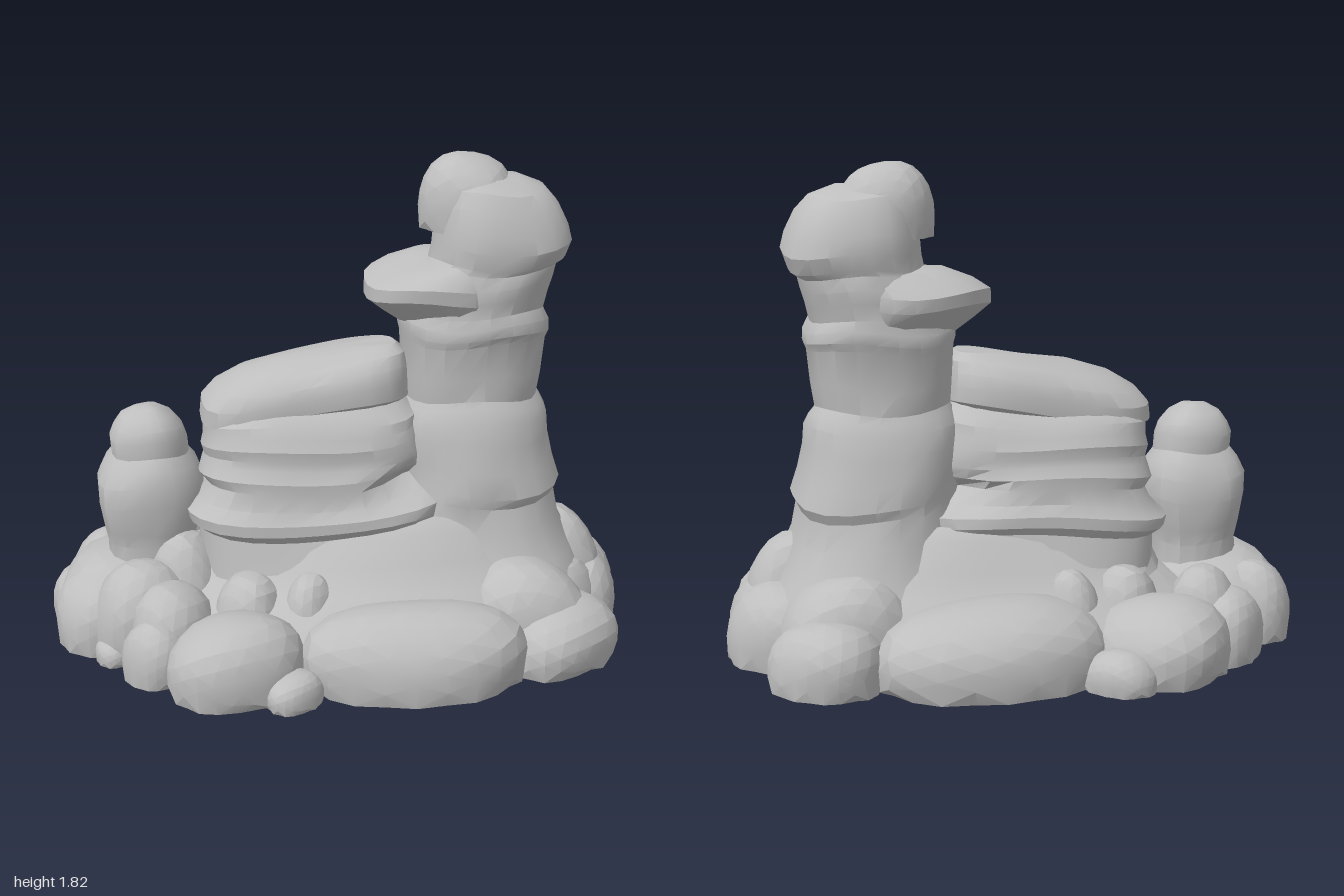
import * as THREE from 'three';
import { toCreasedNormals } from 'three/addons/utils/BufferGeometryUtils.js';

const stone = new THREE.MeshStandardMaterial({ color: 0xbebebe });
stone.name = 'stone';

// Smooth repeatable bumpiness
const bump = (x, y, z, s) =>
  Math.sin(x * 3.1 + s * 1.7) * Math.sin(y * 2.7 + s * 2.3) + Math.sin(z * 3.7 + s * 0.9 + x * 1.3) * 0.7;

function addMesh(parent, name, geo, crease) {
  const mesh = new THREE.Mesh(toCreasedNormals(geo, crease), stone);
  mesh.name = name;
  parent.add(mesh);
  return mesh;
}

// Rounded boulder with a flat underside; h is its height above y0
function rock(parent, name, [x, z, rx, rz, h, yaw = 0, y0 = 0], seed) {
  const geo = new THREE.IcosahedronGeometry(1, 3);
  const p = geo.attributes.position;
  const v = new THREE.Vector3();
  for (let i = 0; i < p.count; i++) {
    v.fromBufferAttribute(p, i);
    const n = 2.25;
    const box = (Math.abs(v.x) ** n + Math.abs(v.y) ** n + Math.abs(v.z) ** n) ** (-1 / n);
    v.multiplyScalar(box * (1 + 0.04 * bump(v.x, v.y, v.z, seed)));
    p.setXYZ(i, v.x * rx, v.y < -0.26 ? 0 : h * (0.3 + 0.7 * v.y), v.z * rz);
  }
  const mesh = addMesh(parent, name, geo, 0.3);
  mesh.position.set(x, y0, z);
  mesh.rotation.y = yaw;
}

// Stack of rounded cross-sections [y, centreX, radiusX, radiusZ]
function strata(parent, name, rows, { power = 2, tilt = 0, rough = 0.02, sides = 26, seed = 1, hollow = 0, cz = 0 }) {
  const pos = [], index = [];
  rows.forEach(([y, cx, rx, rz]) => {
    const wave = y > 0.02 ? 0.05 * Math.min(0.25, rz) : 0;
    for (let i = 0; i < sides; i++) {
      const a = (i / sides) * Math.PI * 2;
      const c = Math.cos(a), s = Math.sin(a);
      const k = (Math.abs(c) ** power + Math.abs(s) ** power) ** (-1 / power)
        * (1 + rough * bump(c * 1.6, y * 5, s * 1.6, seed));
      const x = cx + c * k * rx;
      // Weathered notch on both flanks where wall meets tower
      const dent = 1 - hollow * Math.exp(-(((x - 0.2) / 0.12) ** 2) - ((y - 0.63) / 0.055) ** 2);
      pos.push(x, y + tilt * x + wave * Math.sin(a * 3 + seed + y * 6), cz + s * k * rz * dent);
    }
  });
  const last = (rows.length - 1) * sides;
  const [b, t] = [rows[0], rows[rows.length - 1]];
  pos.push(b[1], b[0] + tilt * b[1], cz, t[1], t[0] + tilt * t[1] + 0.008, cz);
  const bottom = rows.length * sides;
  for (let i = 0; i < sides; i++) {
    const j = (i + 1) % sides;
    for (let r = 0; r < last; r += sides) {
      index.push(r + i, r + sides + i, r + j, r + j, r + sides + i, r + sides + j);
    }
    index.push(bottom, i, j, bottom + 1, last + j, last + i);
  }
  const geo = new THREE.BufferGeometry();
  geo.setAttribute('position', new THREE.Float32BufferAttribute(pos, 3));
  geo.setIndex(index);
  addMesh(parent, name, geo, 0.5);
}

export function createModel() {
  const model = new THREE.Group();
  model.name = 'rockFormation';

  // The formation runs along a diagonal; its x axis points from pillar to tower
  const ridge = new THREE.Group();
  ridge.name = 'ridge';
  ridge.rotation.y = Math.PI / 4;
  model.add(ridge);

  strata(ridge, 'plinth', [
    [0, -0.03, 0.9, 0.64], [0.1, -0.03, 0.9, 0.64], [0.2, 0.02, 0.82, 0.56], [0.28, 0.06, 0.72, 0.46],
    [0.36, 0.04, 0.65, 0.39], [0.46, 0.03, 0.59, 0.34], [0.5, 0.03, 0.52, 0.3],
  ], { power: 2.4, seed: 2 });

  strata(ridge, 'layeredWall', [
    [0.32, -0.14, 0.46, 0.37], [0.47, -0.14, 0.46, 0.33], [0.5, -0.16, 0.48, 0.35], [0.54, -0.16, 0.49, 0.35],
    [0.58, -0.15, 0.45, 0.32], [0.64, -0.15, 0.42, 0.31], [0.68, -0.17, 0.43, 0.31], [0.72, -0.17, 0.42, 0.285],
    [0.75, -0.17, 0.41, 0.28], [0.79, -0.18, 0.41, 0.285], [0.83, -0.18, 0.4, 0.265], [0.87, -0.18, 0.4, 0.25],
    [0.9, -0.18, 0.37, 0.22], [0.94, -0.17, 0.33, 0.18],
  ], { power: 3.4, tilt: 0.05, rough: 0.015, sides: 36, seed: 3, hollow: 0.5 });

  strata(ridge, 'topSlab', [
    [0.89, -0.2, 0.34, 0.18], [0.92, -0.2, 0.39, 0.22], [0.98, -0.2, 0.385, 0.225],
    [1.03, -0.18, 0.36, 0.21], [1.075, -0.14, 0.31, 0.17], [1.105, -0.08, 0.22, 0.1],
  ], { power: 3.4, tilt: 0.13, rough: 0.015, sides: 32, seed: 5 });

  strata(ridge, 'tower', [
    [0.2, 0.48, 0.4, 0.44], [0.32, 0.48, 0.36, 0.37], [0.45, 0.46, 0.31, 0.32], [0.55, 0.445, 0.3, 0.305],
    [0.59, 0.45, 0.315, 0.32], [0.68, 0.435, 0.305, 0.305], [0.78, 0.43, 0.295, 0.28], [0.86, 0.43, 0.29, 0.265],
    [0.9, 0.43, 0.27, 0.245], [0.93, 0.425, 0.25, 0.23], [1.02, 0.425, 0.26, 0.235], [1.15, 0.43, 0.27, 0.24],
    [1.18, 0.435, 0.28, 0.255], [1.22, 0.435, 0.28, 0.255], [1.26, 0.435, 0.26, 0.24], [1.32, 0.445, 0.265, 0.245],
    [1.37, 0.46, 0.265, 0.25], [1.42, 0.49, 0.245, 0.235], [1.44, 0.515, 0.25, 0.24], [1.5, 0.53, 0.255, 0.255],
    [1.56, 0.525, 0.245, 0.245], [1.64, 0.515, 0.22, 0.225], [1.7, 0.5, 0.185, 0.19], [1.74, 0.48, 0.11, 0.11],
  ], { power: 2.4, rough: 0.018, sides: 22, seed: 4, hollow: 0.3, cz: -0.025 });

  strata(ridge, 'towerBrim', [
    [1.2, 0.37, 0.2, 0.18], [1.26, 0.33, 0.24, 0.24], [1.31, 0.3, 0.275, 0.28],
    [1.36, 0.3, 0.275, 0.285], [1.4, 0.34, 0.25, 0.25], [1.44, 0.4, 0.2, 0.2],
  ], { power: 2.1, seed: 7, sides: 22, cz: -0.035 });

  strata(ridge, 'pillar', [
    [0.2, -0.79, 0.18, 0.19], [0.36, -0.79, 0.165, 0.17], [0.42, -0.79, 0.18, 0.185], [0.53, -0.79, 0.2, 0.2],
    [0.61, -0.79, 0.2, 0.195], [0.67, -0.785, 0.175, 0.17], [0.71, -0.785, 0.145, 0.14], [0.77, -0.79, 0.145, 0.14],
    [0.81, -0.79, 0.13, 0.13], [0.85, -0.795, 0.1, 0.1], [0.88, -0.795, 0.05, 0.05],
  ], { power: 2.3, sides: 18, seed: 6, cz: 0.01 });

  rock(ridge, 'towerCap', [0.405, -0.035, 0.18, 0.18, 0.27, 0, 1.55], 2);

  // Sloping buttresses on both flanks of the tower
  for (const side of [-1, 1]) rock(ridge, 'buttress', [0.6, side * 0.33, 0.25, 0.2, 0.37], 5);

  // Boulders around the foot: x, z, radiusX, radiusZ, height, yaw
  const boulders = new THREE.Group();
  boulders.name = 'boulders';
  model.add(boulders);
  const diagonal = Math.PI / 4;
  [
    // Long flank boulders
    [0.52, 0.27, 0.42, 0.23, 0.3, diagonal], [-0.29, -0.43, 0.43, 0.27, 0.3, diagonal],
    // Behind the tower
    [0.79, -0.23, 0.2, 0.24, 0.25], [0.16, -0.81, 0.21, 0.19, 0.25],
    [0.55, -0.54, 0.18, 0.16, 0.45, diagonal], [0.61, -0.61, 0.14, 0.24, 0.28, diagonal],
    [0.47, -0.68, 0.22, 0.17, 0.3, 0.3], [0.65, -0.42, 0.14, 0.18, 0.3],
    // Right front side
    [0.1, 0.74, 0.21, 0.26, 0.28, -0.3], [0.33, 0.69, 0.09, 0.11, 0.12], [0.15, 0.43, 0.11, 0.11, 0.36],
    [-0.03, 0.55, 0.14, 0.13, 0.36], [-0.22, 0.76, 0.15, 0.16, 0.32], [-0.18, 0.88, 0.12, 0.12, 0.22],
    // Left side
    [-0.74, -0.02, 0.25, 0.24, 0.28, 0.3], [-0.71, -0.26, 0.13, 0.11, 0.14], [-0.44, -0.14, 0.11, 0.11, 0.36],
    [-0.55, 0.05, 0.14, 0.14, 0.36], [-0.77, 0.26, 0.14, 0.14, 0.34], [-0.87, 0.27, 0.12, 0.15, 0.27],
    // Around the pillar
    [-0.6, 0.6, 0.32, 0.32, 0.34, diagonal], [-0.4, 0.75, 0.17, 0.2, 0.35], [-0.57, 0.81, 0.18, 0.17, 0.28],
    [-0.4, 0.89, 0.08, 0.08, 0.1], [-0.83, 0.56, 0.14, 0.14, 0.3], [-0.73, 0.72, 0.15, 0.15, 0.25],
    [-0.36, 0.56, 0.16, 0.15, 0.42],
  ].forEach((spec, i) => rock(boulders, 'boulder' + (i + 1), spec, i + 1));

  return model;
}
